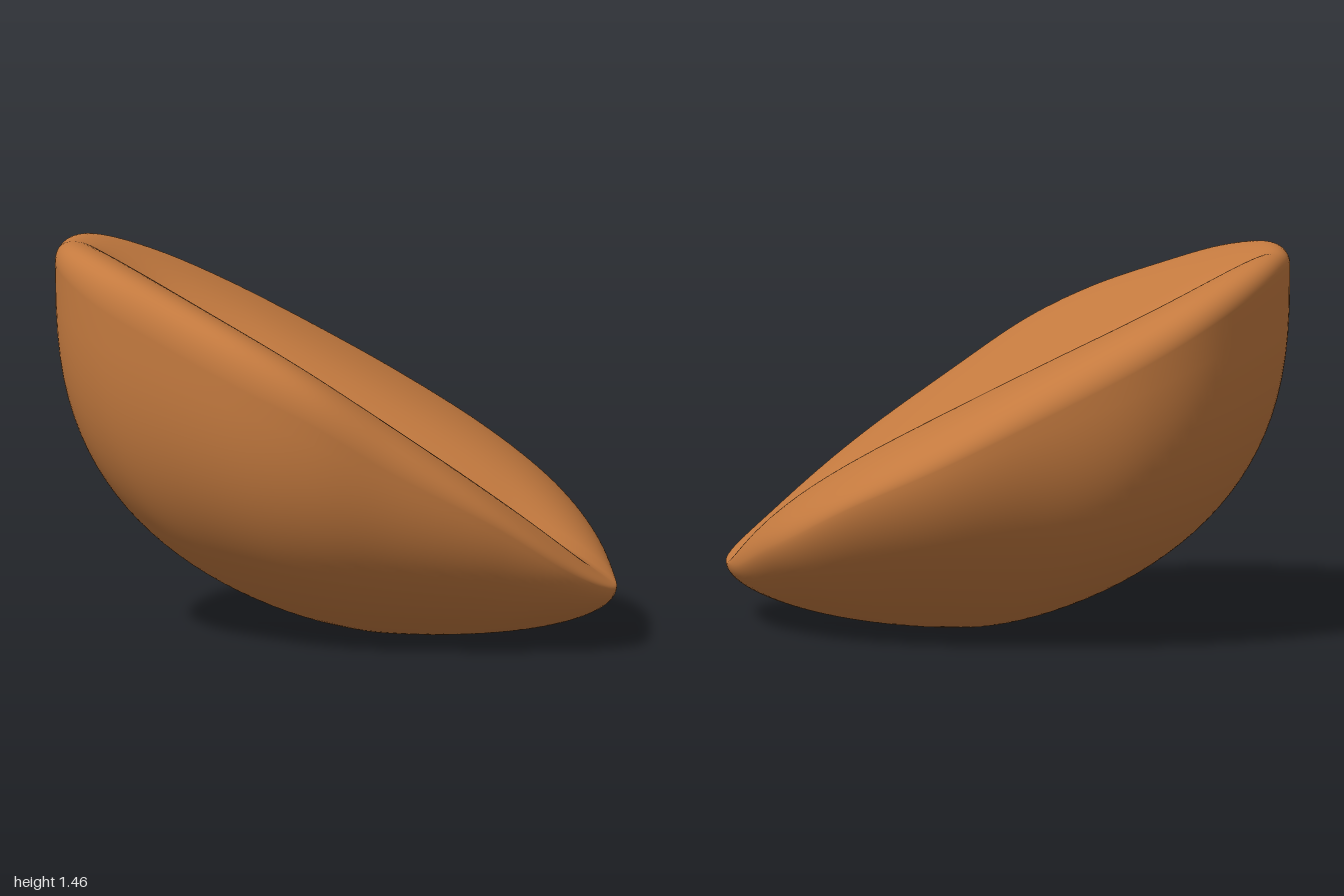
import * as THREE from 'three';

// Widest outline of the bean, counterclockwise seen from above: x, y, z
const RIM = [
  [1.0, 0.24, 0.3], [0.985, 0.34, 0], [0.93, 0.42, -0.2], [0.78, 0.56, -0.44],
  [0.5, 0.73, -0.67], [0.15, 0.92, -0.81], [-0.26, 1.13, -0.89], [-0.55, 1.27, -0.83],
  [-0.85, 1.39, -0.6], [-1.0, 1.38, -0.26], [-0.95, 1.29, 0.05], [-0.77, 1.17, 0.34],
  [-0.53, 1.03, 0.63], [-0.3, 0.91, 0.78], [0, 0.72, 0.85], [0.4, 0.5, 0.885],
  [0.7, 0.31, 0.83], [0.9, 0.22, 0.69],
];
const TOP = new THREE.Vector3(0.02, 0.9, -0.068);   // middle of the split face
const BASE = new THREE.Vector3(0.2, 0, 0.1);        // lowest point of the belly
const COLS = 160, TOP_ROWS = 56, BELLY_ROWS = 32;

// Signed distance from the curved seam, positive towards the front
function seamDistance(x, z) {
  const bend = Math.min(0, x + 0.2);
  return (z - (-0.08 + 0.6 * x + 0.4 * bend * bend)) * 0.86;
}

// Height of the split face: dished front lobe, raised back lobe, groove between
function faceHeight(x, z, fade) {
  const d = seamDistance(x, z);
  const slope = 0.915 - 0.645 * x - 0.05 * z - 0.03 * x * x;
  const dish = 0.08 * Math.max(0, d) ** 2;
  const backLobe = (0.2 + 0.1 * x) * (1 - Math.exp(Math.min(0, d) / 0.24));
  const groove = 0.07 * fade * Math.exp(-Math.abs(d) / 0.07);
  return slope + dish + backLobe - groove;
}

// Split face, rounded over where it meets the rim
function facePoint(rim, u) {
  const p = TOP.clone().lerp(rim, u);
  const fade = 1 - THREE.MathUtils.smoothstep(u, 0.6, 0.95);
  const round = Math.sqrt(Math.max(0, 1 - Math.pow(u, 8)));
  p.y = rim.y + (faceHeight(p.x, p.z, fade) - rim.y) * round;
  return p;
}

// Belly: full shoulder at the high end, flatter chamfer on the back left side
function bellyPoint(rim, a) {
  const dx = rim.x - BASE.x, dz = rim.z - BASE.z;
  const len = Math.hypot(dx, dz), nx = dx / len, nz = dz / len;
  const full = 0.6 - 0.85 * nx - 0.14 * nz + 0.2 * nx * nz;
  const chamfer = Math.max(0, (nx - nz) / Math.SQRT2) ** 2;
  const c = Math.pow(Math.cos(a), 1 + 0.17 * full + 0.3 * chamfer);
  const drop = Math.pow(Math.sin(a), 1 - 0.19 * full + 0.15 * chamfer);
  return new THREE.Vector3(BASE.x + dx * c, rim.y * (1 - drop), BASE.z + dz * c);
}

function beanGeometry() {
  const curve = new THREE.CatmullRomCurve3(RIM.map(p => new THREE.Vector3(...p)), true);
  const rim = Array.from({ length: COLS }, (_, i) => curve.getPoint(i / COLS));
  const positions = [], indices = [];
  const push = p => positions.push(p.x, p.y, p.z);

  // Single centre vertex, rings outwards over the face, then down the belly
  push(facePoint(rim[0], 0));
  for (let j = 1; j <= TOP_ROWS; j++) {
    const u = Math.sin((j / TOP_ROWS) * Math.PI / 2);
    rim.forEach(r => push(facePoint(r, u)));
  }
  for (let j = 1; j < BELLY_ROWS; j++) {
    const a = (j / BELLY_ROWS) * Math.PI / 2;
    rim.forEach(r => push(bellyPoint(r, a)));
  }
  push(BASE);

  const rings = TOP_ROWS + BELLY_ROWS - 1;
  const last = 1 + rings * COLS;
  for (let i = 0; i < COLS; i++) {
    const n = (i + 1) % COLS;
    indices.push(0, 1 + i, 1 + n);
    for (let j = 0; j < rings - 1; j++) {
      const a = 1 + j * COLS, b = a + COLS;
      indices.push(a + i, b + i, b + n, a + i, b + n, a + n);
    }
    const e = 1 + (rings - 1) * COLS;
    indices.push(e + i, last, e + n);
  }

  const g = new THREE.BufferGeometry();
  g.setAttribute('position', new THREE.Float32BufferAttribute(positions, 3));
  g.setIndex(indices);
  g.computeVertexNormals();
  return g;
}

export function createModel() {
  const group = new THREE.Group();
  group.name = 'coffeeBean';
  const bean = new THREE.Mesh(beanGeometry(), new THREE.MeshStandardMaterial({ color: 0xc47a3f }));
  bean.name = 'bean';
  group.add(bean);
  return group;
}
